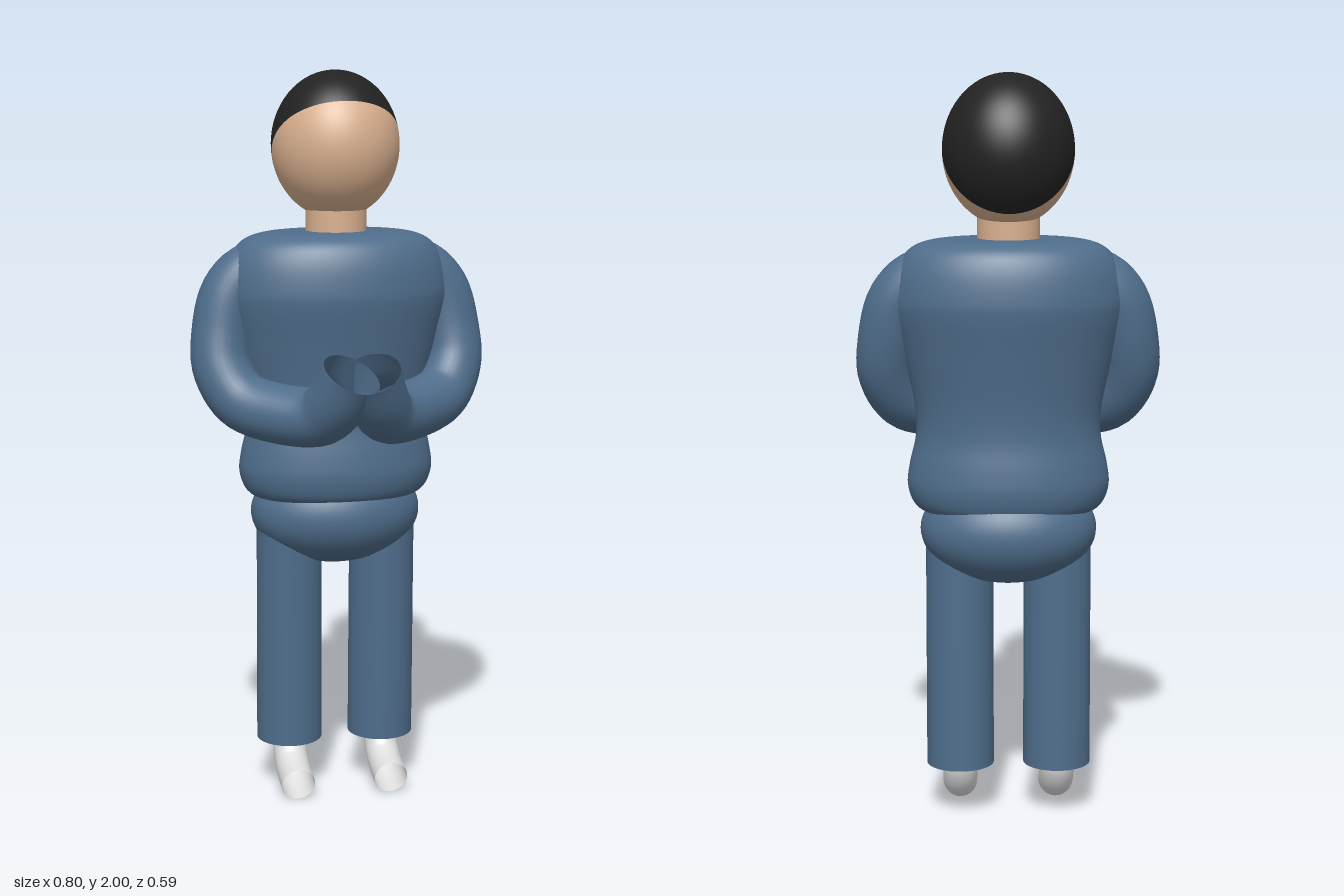
import * as THREE from 'three';

const material = (name, color, side = THREE.FrontSide) => {
  const m = new THREE.MeshStandardMaterial({ color, side });
  m.name = name;
  return m;
};

// Part of an ellipsoid, split along a hairline that tilts down to the back
// and rises slightly at the temples.
function skullPart(isHair) {
  const g = new THREE.SphereGeometry(1, 64, 24, 0, Math.PI * 2, 0.5, 1);
  const p = g.attributes.position, n = g.attributes.normal, uv = g.attributes.uv;
  for (let i = 0; i < p.count; i++) {
    const phi = uv.getX(i) * Math.PI * 2, t = 1 - uv.getY(i);
    const edge = THREE.MathUtils.degToRad(98 - 8 * Math.cos(phi) ** 2);
    const theta = isHair ? t * edge : edge + t * (Math.PI - edge);
    const x = -Math.cos(phi) * Math.sin(theta);
    const y = Math.cos(theta);
    const z = Math.sin(phi) * Math.sin(theta);
    p.setXYZ(i, x, y, z);
    n.setXYZ(i, x, y, z);
  }
  g.rotateX(-Math.PI / 4);
  g.scale(0.172, 0.197, 0.184);
  return g;
}

// Open tube through a few [x, y, z] points, mirrored by side = 1 or -1
function limb(points, radius, side) {
  const path = new THREE.CatmullRomCurve3(
    points.map(([x, y, z]) => new THREE.Vector3(side * x, y, z)));
  return new THREE.TubeGeometry(path, 48, radius, 32, false);
}

export function createModel() {
  const model = new THREE.Group();
  model.name = 'standingFigure';
  const suit = material('blue suit', 0x4f6d8b, THREE.DoubleSide);
  const skin = material('skin', 0xd9b08f);
  const hairColor = material('black hair', 0x222222);
  const shoe = material('pale shoe', 0xdedede, THREE.DoubleSide);

  const add = (name, geometry, mat, x = 0, y = 0, z = 0) => {
    const mesh = new THREE.Mesh(geometry, mat);
    mesh.name = name;
    mesh.position.set(x, y, z);
    model.add(mesh);
    return mesh;
  };

  // Head, hair and neck
  add('face', skullPart(false), skin, 0, 1.803, -0.096);
  add('hair', skullPart(true), hairColor, 0, 1.803, -0.096);
  add('neck', new THREE.CylinderGeometry(0.082, 0.082, 0.12, 40), skin, 0, 1.59, -0.087);

  // Torso: oval body with a broad chest, narrow waist and full jacket hem
  const profile = [
    [0, 0.845], [0.12, 0.845], [0.205, 0.847], [0.248, 0.868], [0.268, 0.92], [0.262, 0.98],
    [0.245, 1.06], [0.25, 1.15], [0.28, 1.28], [0.306, 1.38], [0.309, 1.43],
    [0.292, 1.5], [0.255, 1.55], [0.19, 1.572], [0.09, 1.575], [0, 1.575],
  ].map(([r, y]) => new THREE.Vector2(r, y));
  const outline = new THREE.SplineCurve(profile).getPoints(75);
  outline.forEach(v => { v.x = Math.max(v.x, 0); });
  const torso = new THREE.LatheGeometry(outline, 64);
  torso.scale(1, 1, 0.655);
  add('torso', torso, suit, 0, 0, -0.091);

  // Hips
  const hips = new THREE.SphereGeometry(1, 48, 32);
  hips.scale(0.235, 0.147, 0.177);
  add('hips', hips, suit, 0, 0.803, -0.102);

  for (const side of [1, -1]) {
    const label = side > 0 ? 'left' : 'right';

    // Arm: down from the shoulder, forward across the belly, cuff turned up
    add(label + 'Arm', limb([
      [0.17, 1.465, -0.09], [0.235, 1.465, -0.09], [0.29, 1.41, -0.088],
      [0.318, 1.3, -0.075], [0.319, 1.215, -0.052], [0.275, 1.135, -0.008],
      [0.18, 1.105, 0.065], [0.09, 1.11, 0.137], [0.055, 1.155, 0.185], [0.025, 1.23, 0.225],
    ], 0.08, side), suit);

    // Trouser leg, leaning slightly
    const leg = add(label + 'Leg', new THREE.CylinderGeometry(0.09, 0.091, 0.65, 40),
      suit, side * 0.131, 0.473, -0.102);
    leg.rotation.x = 0.024;

    // Foot: short tube bending forward from the trouser hem
    add(label + 'Foot', limb([
      [0.132, 0.17, -0.108], [0.132, 0.135, -0.105], [0.132, 0.09, -0.076],
      [0.132, 0.065, -0.03], [0.132, 0.05, 0.029],
    ], 0.047, side), shoe);
  }
  return model;
}
